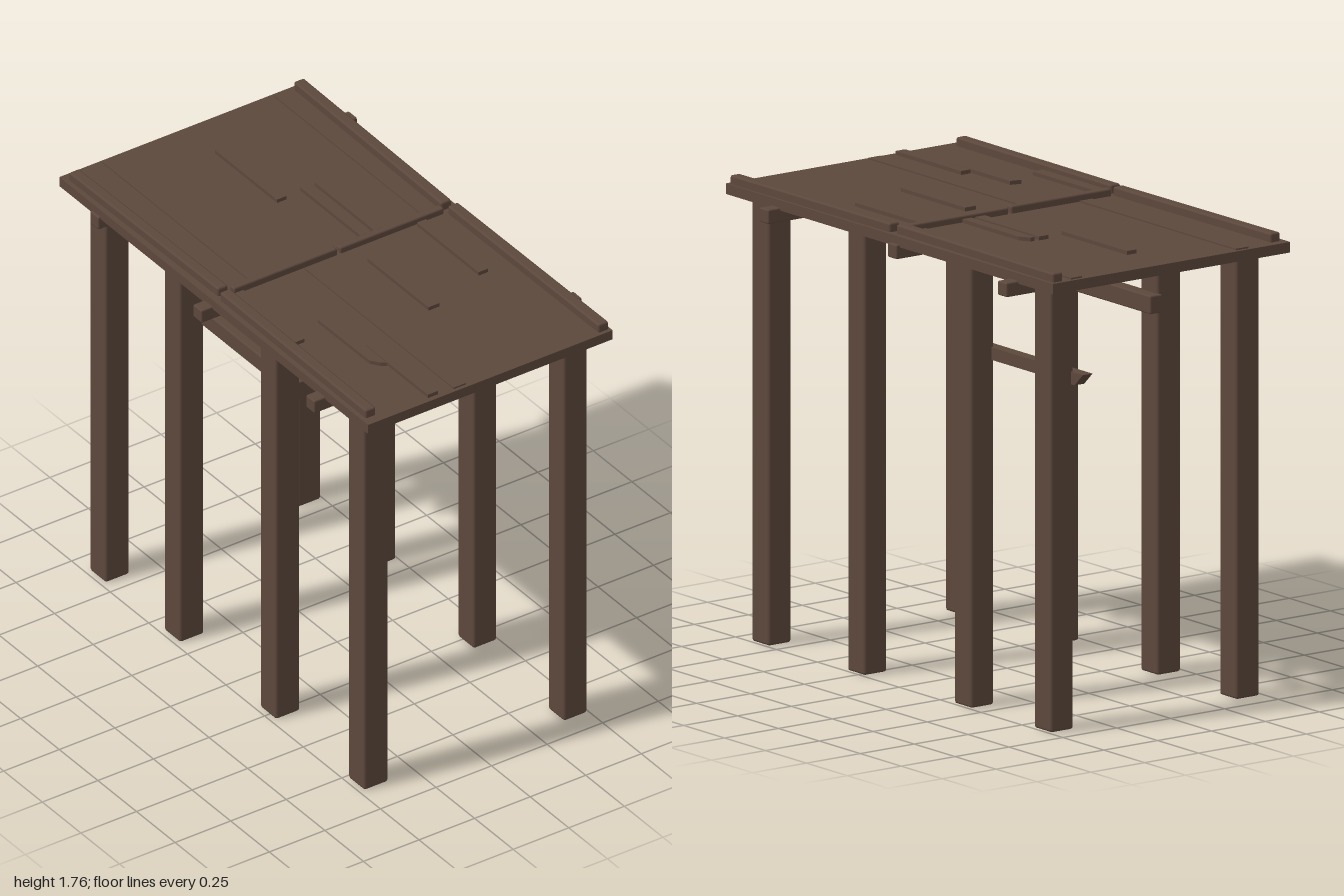
import * as THREE from 'three';
import { RoundedBoxGeometry } from 'three/addons/geometries/RoundedBoxGeometry.js';

export function createModel() {
  const group = new THREE.Group();
  const wood = new THREE.MeshStandardMaterial({ color: 0x5d483d });
  wood.name = 'dark brown wood';

  const add = (name, geometry) => {
    const mesh = new THREE.Mesh(geometry, wood);
    mesh.name = name;
    group.add(mesh);
    return mesh;
  };

  // Timber given by its extents, with slightly worn edges when r > 0
  const timber = (name, x0, x1, y0, y1, z0, z1, r = 0) => {
    const size = [x1 - x0, y1 - y0, z1 - z0];
    const geometry = r ? new RoundedBoxGeometry(...size, 1, r) : new THREE.BoxGeometry(...size);
    const mesh = add(name, geometry);
    mesh.position.set((x0 + x1) / 2, (y0 + y1) / 2, (z0 + z1) / 2);
    return mesh;
  };

  // Timber with a (z, y) side profile, spanning x0 to x1
  const profiled = (name, x0, x1, points) => {
    const shape = new THREE.Shape(points.map(([z, y]) => new THREE.Vector2(z, y)));
    const geometry = new THREE.ExtrudeGeometry(shape, { depth: x1 - x0, bevelEnabled: false });
    geometry.rotateY(-Math.PI / 2);
    add(name, geometry).position.x = x1;
  };

  // Thin strip with an (x, z) outline, lying on the deck
  const strip = (name, points, top) => {
    const shape = new THREE.Shape(points.map(([x, z]) => new THREE.Vector2(x, -z)));
    const geometry = new THREE.ExtrudeGeometry(shape, { depth: top - 1.72, bevelEnabled: false });
    geometry.rotateX(-Math.PI / 2);
    add(name, geometry).position.y = 1.72;
  };

  // Two rows of four posts, not quite aligned
  for (const z of [0.86, 0.275, -0.378, -0.865]) timber('leftPost', 0.387, 0.492, 0, 1.7, z - 0.053, z + 0.053, 0.01);
  for (const z of [0.815, 0.243, -0.378, -0.86]) timber('rightPost', -0.48, -0.372, 0, 1.7, z - 0.053, z + 0.053, 0.01);

  // Cross beams beneath the deck
  for (const [x0, x1, z] of [[-0.605, 0.6, 0.695], [-0.605, 0.56, -0.035], [-0.565, 0.6, -0.76]]) {
    timber('crossBeam', x0, x1, 1.645, 1.7, z - 0.028, z + 0.028, 0.006);
  }

  // Side braces, one of them with splintered ends
  timber('rightBrace', -0.385, -0.328, 1.38, 1.45, -0.445, 0.28, 0.006);
  profiled('leftBrace', 0.355, 0.4, [
    [-0.245, 1.36], [-0.99, 1.36], [-0.94, 1.312], [-0.285, 1.312], [-0.275, 1.338], [-0.245, 1.338],
  ]);

  // Deck in two panels
  timber('frontDeck', -0.555, 0.545, 1.69, 1.73, 0, 1);
  timber('backDeck', -0.555, 0.545, 1.69, 1.73, -1, 0);

  // Edge rails along both sides, slightly skewed
  for (const [x, z0, z1, turn] of [
    [-0.508, -0.965, -0.015, 0.012], [-0.512, 0.005, 0.96, -0.006],
    [0.505, -0.985, -0.01, -0.012], [0.512, 0.015, 0.985, 0.006],
  ]) {
    timber('edgeRail', x - 0.023, x + 0.023, 1.722, 1.764, z0, z1, 0.008).rotation.y = turn;
  }

  // Battens covering the joint between the panels
  timber('jointBatten', -0.47, -0.005, 1.722, 1.758, -0.022, 0.01, 0.007);
  timber('jointBatten', 0.008, 0.475, 1.722, 1.755, -0.022, 0.01, 0.007);

  // Long, barely raised planks
  for (const [x0, x1, z0, z1] of [
    [-0.372, -0.315, -0.985, -0.03], [0.4, 0.45, -0.985, -0.03], [-0.16, -0.105, 0.02, 0.985],
  ]) timber('longPlank', x0, x1, 1.72, 1.736, z0, z1);

  // Short patches scattered over the deck
  for (const [x0, x1, z0, z1] of [
    [0.007, 0.05, -0.8, -0.4], [0.125, 0.17, -0.42, -0.03], [-0.482, -0.435, 0.02, 0.415],
    [0.345, 0.386, 0.02, 0.42], [0.06, 0.11, 0.11, 0.505], [-0.272, -0.228, 0.58, 0.98],
  ]) strip('patch', [[x0, z0], [x1, z0], [x1, z1], [x0, z1]], 1.745);

  // Two patches with broken ends
  strip('brokenPatch', [[0.187, -0.415], [0.205, -0.415], [0.23, -0.375], [0.228, -0.03], [0.187, -0.03]], 1.745);
  strip('brokenPatch', [[-0.322, 0.335], [-0.277, 0.345], [-0.275, 0.72], [-0.295, 0.705], [-0.32, 0.67]], 1.745);

  return group;
}
